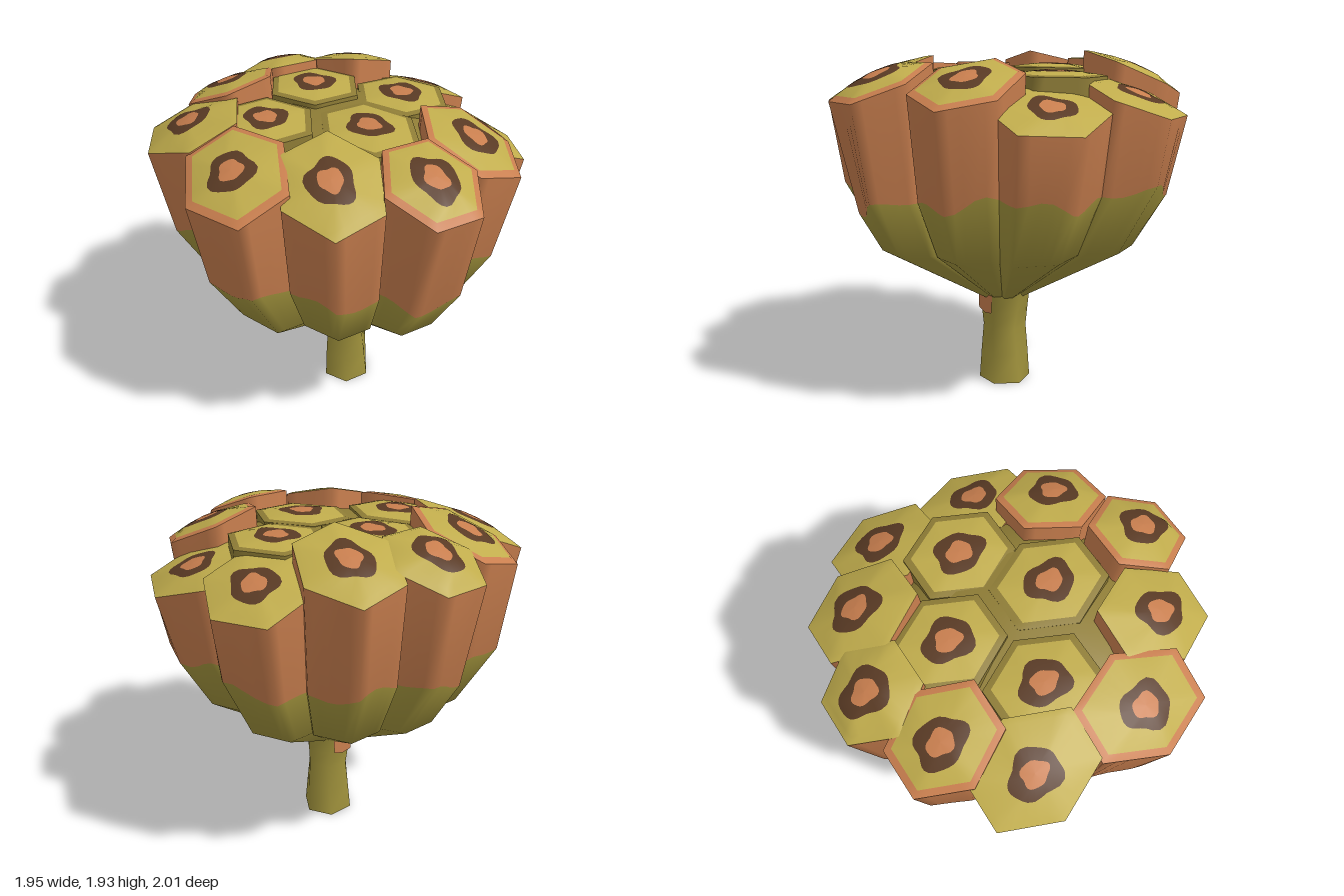
import * as THREE from 'three';

const mat = (name, color) => new THREE.MeshStandardMaterial({ name, color });

// Loft closed rings of Vector3 (bottom to top, or rim to centre); one material index per band
function loft(rings, bands, materials, name) {
  const n = rings[0].length;
  const geo = new THREE.BufferGeometry();
  const index = [];
  for (let i = 0; i < rings.length - 1; i++) {
    geo.addGroup(index.length, n * 6, bands[i]);
    for (let j = 0; j < n; j++) {
      const k = (j + 1) % n;
      const a = i * n + j, b = i * n + k, c = a + n, d = b + n;
      index.push(a, c, b, b, c, d);
    }
  }
  geo.setFromPoints(rings.flat());
  geo.setIndex(index);
  geo.computeVertexNormals();
  const mesh = new THREE.Mesh(geo, materials);
  mesh.name = name;
  return mesh;
}

// Shrink of the body towards the axis at height y
const PROFILE = [[0.52, 0.14], [0.87, 0.74], [1.22, 0.94], [1.65, 1]];
function shrink(y) {
  for (let i = 1; i < PROFILE.length; i++) {
    const [y0, s0] = PROFILE[i - 1], [y1, s1] = PROFILE[i];
    if (y <= y1) return s0 + (s1 - s0) * (y - y0) / (y1 - y0);
  }
  return 1;
}

// Wavy height where the upper wall colour meets the lower one
function tideLine(x, z) {
  const a = Math.atan2(x, z);
  return 1.2 + 0.035 * Math.sin(a * 7 + 1) + 0.025 * Math.sin(a * 17)
    - 0.14 * Math.exp(-a * a * 30);
}

// x, z, half depth, rim height, dome height, has clay rim
const OUTER = [
  [0.02, -0.79, 0.22, 1.79, 0.07, 0], [0.40, -0.62, 0.255, 1.81, 0.05, 0],
  [0.71, -0.33, 0.265, 1.69, 0.04, 0], [0.70, 0.22, 0.29, 1.64, 0.04, 0],
  [0.43, 0.52, 0.26, 1.77, 0.05, 1], [0.02, 0.77, 0.23, 1.77, 0.06, 1],
  [-0.39, 0.56, 0.265, 1.78, 0.05, 0], [-0.72, 0.23, 0.31, 1.76, 0.05, 1],
  [-0.70, -0.36, 0.29, 1.76, 0.05, 0], [-0.365, -0.63, 0.255, 1.81, 0.05, 1],
];
const INNER = [
  [0.02, -0.36, 0.25, 1.83, 0.03], [0.40, -0.06, 0.25, 1.8, 0.03],
  [0.02, 0.22, 0.27, 1.81, 0.03], [-0.40, -0.10, 0.26, 1.82, 0.03],
];

// Hexagon with corners on the x axis, each edge divided
function hexagon(cx, cz, rx, hz, div = 5) {
  const pts = [];
  const corner = (k) => new THREE.Vector3(
    cx + rx * Math.cos(k * Math.PI / 3), 0, cz + hz * Math.sin(k * Math.PI / 3) / 0.866);
  for (let k = 0; k < 6; k++)
    for (let d = 0; d < div; d++) pts.push(corner(k).lerp(corner(k + 1), d / div));
  return pts;
}

function cell([cx, cz, hz, rimY, dome, clayRim], seed, outer, m) {
  const group = new THREE.Group();
  group.name = outer ? 'outerCell' : 'innerCell';
  const rc = Math.hypot(cx, cz);
  const slope = outer ? 0.42 : 0.03;
  const outline = hexagon(cx, cz, 0.258, hz);
  // Height on the sloping, domed cap, t running from 0 at the centre to 1 at the rim
  const capY = (x, z, t) => rimY - slope * ((x * cx + z * cz) / rc - rc) + dome * (1 - t * t);
  const rim = outline.map((p) => new THREE.Vector3(p.x, capY(p.x, p.z, 1), p.z));

  // Tapering wall down to the stem
  const at = (p, y) => new THREE.Vector3(p.x * shrink(y), y, p.z * shrink(y));
  if (outer) {
    const wall = [
      outline.map((p) => at(p, 0.52)), outline.map((p) => at(p, 0.87)),
      outline.map((p) => at(p, tideLine(p.x, p.z))), rim,
    ];
    group.add(loft(wall, [0, 0, 1], [m.moss, m.clay], 'cellWall'));
  } else {
    const foot = rim.map((p) => new THREE.Vector3(p.x, 1.6, p.z));
    group.add(loft([foot, rim], [0], [m.shade], 'cellWall'));
  }

  // Cap with rim, field, dark ring and seed spot
  const shift = outer ? 0.025 : 0;
  const sx = cx + shift * cx / rc, sz = cz + shift * cz / rc;
  const inset = (t) => outline.map((p) => {
    const x = cx + (p.x - cx) * t, z = cz + (p.z - cz) * t;
    return new THREE.Vector3(x, capY(x, z, t), z);
  });
  const blob = (r, phase) => outline.map((p) => {
    const a = Math.atan2(p.z - cz, p.x - cx);
    const w = r * (1 + 0.09 * Math.sin(3 * a + phase) + 0.06 * Math.sin(5 * a + 2 * phase));
    const x = sx + w * Math.cos(a) * 0.93, z = sz + w * Math.sin(a) * 1.1;
    return new THREE.Vector3(x, capY(x, z, r / 0.25), z);
  });
  const rings = [rim, inset(0.86), blob(0.118, seed), blob(0.062, seed * 2 + 1), blob(0, 0)];
  const rimColor = !outer ? 3 : clayRim ? 2 : 0;
  group.add(loft(rings, [rimColor, 0, 1, 2], [m.olive, m.brown, m.clay, m.shade], 'cellCap'));
  return group;
}

export function createModel() {
  const model = new THREE.Group();
  model.name = 'seedPod';
  const m = {
    olive: mat('light olive', 0xc0ac4c),
    shade: mat('dark olive', 0x8f7d36),
    moss: mat('moss olive', 0xa0923c),
    clay: mat('clay orange', 0xc87e4e),
    brown: mat('seed brown', 0x593a24),
  };

  OUTER.forEach((c, i) => model.add(cell(c, i * 1.7, true, m)));
  INNER.forEach((c, i) => model.add(cell(c, i * 2.3 + 0.5, false, m)));

  // Floor filling the gaps between the cells
  const floor = new THREE.Mesh(new THREE.LatheGeometry(
    [[0.62, 1.62], [0.5, 1.74], [0.3, 1.81], [0, 1.82]].map(([r, y]) => new THREE.Vector2(r, y)), 24), m.shade);
  floor.name = 'podFloor';
  model.add(floor);

  // Slightly twisted six-sided stem
  const stemRing = (y, r, twist) => Array.from({ length: 6 }, (_, k) => {
    const a = (k * Math.PI) / 3 + twist;
    return new THREE.Vector3(0.02 + r * Math.cos(a), y, r * Math.sin(a));
  });
  const stemRings = [
    stemRing(0, 0, 0), stemRing(0, 0.15, 0), stemRing(0.17, 0.138, 0.08),
    stemRing(0.33, 0.125, 0.15), stemRing(0.43, 0.135, 0.08), stemRing(0.56, 0.15, 0),
  ];
  model.add(loft(stemRings.slice(0, 2), [0], [m.moss], 'stemBase'));
  model.add(loft(stemRings.slice(1), [0, 0, 0, 0], [m.moss], 'stem'));

  // Clay patches at the top of the stem, front and back
  const patch = new THREE.Shape([[-0.07, 0.54], [-0.065, 0.44], [0, 0.42], [0.06, 0.43], [0.07, 0.54]]
    .map(([x, y]) => new THREE.Vector2(x, y)));
  for (const side of [1, -1]) {
    const mesh = new THREE.Mesh(new THREE.ShapeGeometry(patch), m.clay);
    mesh.position.set(0.01, 0, side * 0.132);
    if (side < 0) mesh.rotation.y = Math.PI;
    mesh.name = 'stemPatch';
    model.add(mesh);
  }
  return model;
}
